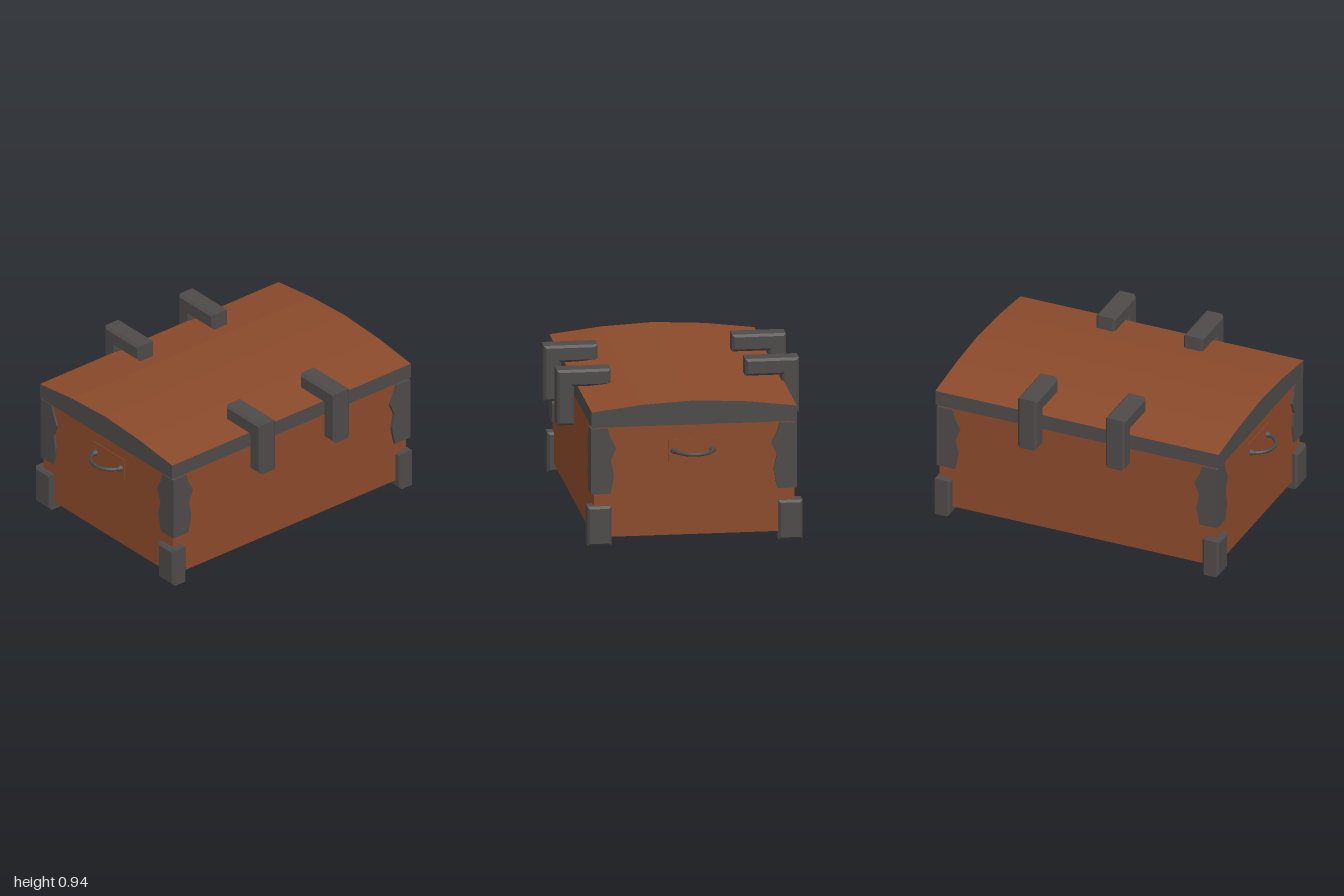
import * as THREE from 'three';

const wood = new THREE.MeshStandardMaterial({ color: 0x8b4a2b });
wood.name = 'brownWood';
const iron = new THREE.MeshStandardMaterial({ color: 0x4d4a49 });
iron.name = 'darkIron';

const toShape = (points) => new THREE.Shape(points.map(([x, y]) => new THREE.Vector2(x, y)));

function part(parent, name, geometry, material, x = 0, y = 0, z = 0) {
  const mesh = new THREE.Mesh(geometry, material);
  mesh.name = name;
  mesh.position.set(x, y, z);
  parent.add(mesh);
  return mesh;
}

// Box given by its lower and upper limits
function block(parent, name, material, [x0, x1], [y0, y1], [z0, z1]) {
  return part(parent, name, new THREE.BoxGeometry(x1 - x0, y1 - y0, z1 - z0), material,
    (x0 + x1) / 2, (y0 + y1) / 2, (z0 + z1) / 2);
}

// Extruded outline with chamfered edges that stays within the outline, from z0 to z1
function chamfered(points, z0, z1, bevel = 0.014) {
  const geometry = new THREE.ExtrudeGeometry(toShape(points), {
    depth: z1 - z0 - 2 * bevel, bevelEnabled: true, bevelSegments: 1,
    bevelThickness: bevel, bevelSize: bevel, bevelOffset: -bevel,
  });
  return geometry.translate(0, 0, z0 + bevel);
}

// Arched lid: wooden top and underside, iron rim
function lidGeometry() {
  const outline = [[-0.615, 0.708], [0.581, 0.708], [0.581, 0.8], [0.285, 0.836],
    [-0.02, 0.852], [-0.32, 0.836], [-0.615, 0.8]];
  const geometry = new THREE.ExtrudeGeometry(toShape(outline), { depth: 1.795, bevelEnabled: false });
  geometry.translate(0, 0, -0.895);
  const normal = geometry.attributes.normal;
  geometry.clearGroups();
  for (let i = 0; i < normal.count; i += 3) {
    geometry.addGroup(i, 3, Math.abs(normal.getY(i)) > 0.5 ? 0 : 1);
  }
  return geometry;
}

// Wavy inner edge of the corner plates: [distance from corner, height]
const WAVE = [[0.098, 0.698], [0.115, 0.645], [0.148, 0.58], [0.117, 0.505],
  [0.135, 0.42], [0.13, 0.385], [0.113, 0.308]];

function wavyPlate(edge, inward, depth) {
  const points = [[edge, 0.308], [edge, 0.698],
    ...WAVE.map(([d, y]) => [edge + inward * d, y])];
  return new THREE.ExtrudeGeometry(toShape(points), { depth, bevelEnabled: false });
}

function addCorner(parent, sx, sz) {
  const corner = new THREE.Group();
  corner.name = (sz > 0 ? 'front' : 'back') + (sx > 0 ? 'Left' : 'Right') + 'Corner';
  parent.add(corner);
  const x = sx > 0 ? 0.585 : -0.617;
  const z = sz > 0 ? 0.894 : -0.887;
  const depth = 0.03;
  part(corner, 'endCornerPlate', wavyPlate(x, -sx, depth), iron, 0, 0, sz > 0 ? z - depth : z);
  part(corner, 'sideCornerPlate', wavyPlate(z, -sz, depth).rotateY(-Math.PI / 2), iron,
    sx > 0 ? x : x + depth);

  // Chamfered foot
  const [x0, x1] = sx > 0 ? [0.463, 0.605] : [-0.65, -0.508];
  const [z0, z1] = sz > 0 ? [0.808, 0.912] : [-0.896, -0.792];
  part(corner, 'foot', chamfered([[x0, 0], [x1, 0], [x1, 0.235], [x0, 0.235]], z0, z1), iron);
}

// L-shaped clip hooking over the lid edge
function addClip(parent, sx, z) {
  const outer = sx * 0.706;
  const inner = sx * 0.606;
  const tip = sx * 0.393;
  const top = sx > 0 ? 0.908 : 0.936;
  const points = [[outer, top - 0.33], [inner, top - 0.33], [inner, top - 0.1],
    [tip, top - 0.1], [tip, top], [outer, top]];
  part(parent, sx > 0 ? 'leftClip' : 'rightClip', chamfered(points, z - 0.061, z + 0.061), iron);
}

// Curved pull with round mounts on a thin wooden plate
function addHandle(parent, sz) {
  const handle = new THREE.Group();
  handle.name = sz > 0 ? 'frontHandle' : 'backHandle';
  parent.add(handle);
  const wall = sz > 0 ? 0.88 : -0.872;
  const y = sz > 0 ? 0.557 : 0.551;
  const reach = sz > 0 ? 0.1 : 0.115;
  block(handle, 'handlePlate', wood, [-0.16, 0.132], [y - 0.067, y + 0.067],
    [wall - 0.002 + sz * 0.003, wall + 0.002 + sz * 0.003]);
  const points = [];
  for (let i = 0; i <= 10; i++) {
    const a = Math.PI * i / 10;
    points.push(new THREE.Vector3(-0.014 + 0.113 * Math.cos(a), y, wall + sz * reach * Math.sin(a)));
  }
  const curve = new THREE.CatmullRomCurve3(points);
  part(handle, 'handleBar', new THREE.TubeGeometry(curve, 24, 0.011, 8), iron);
  for (const x of [-0.127, 0.099]) {
    const mount = part(handle, 'handleMount',
      new THREE.CylinderGeometry(0.012, 0.022, 0.03, 12), iron, x, y, wall + sz * 0.015);
    mount.rotation.x = sz * Math.PI / 2;
  }
}

export function createModel() {
  const chest = new THREE.Group();
  chest.name = 'chest';
  block(chest, 'body', wood, [-0.605, 0.566], [0.048, 0.71], [-0.872, 0.88]);
  part(chest, 'lid', lidGeometry(), [wood, iron]);
  for (const sx of [-1, 1]) {
    for (const sz of [-1, 1]) addCorner(chest, sx, sz);
    for (const z of [0.281, -0.275]) addClip(chest, sx, z);
  }
  for (const sz of [-1, 1]) addHandle(chest, sz);
  return chest;
}
